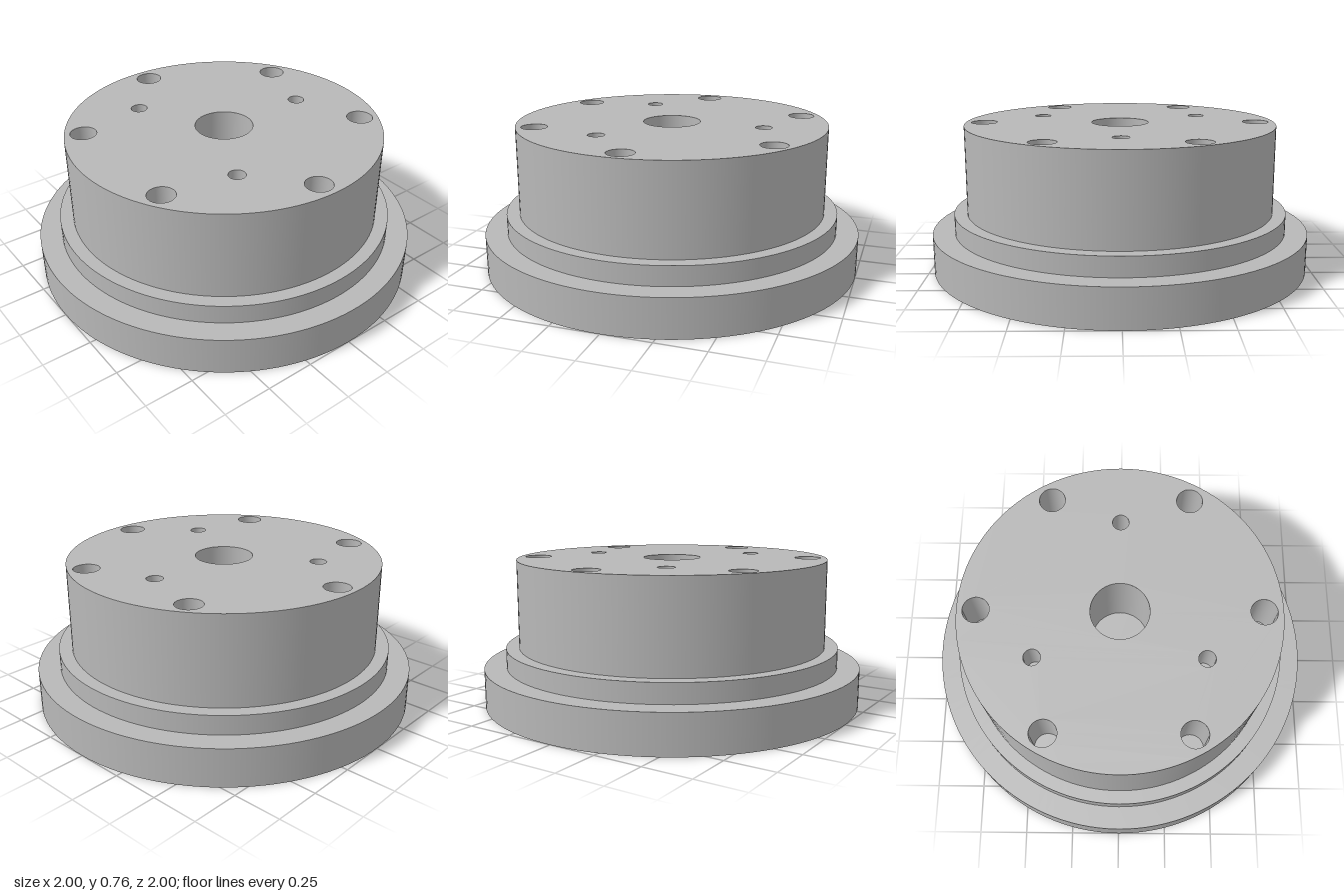
import * as THREE from 'three';

const metal = new THREE.MeshStandardMaterial({ color: 0xb8b8b8 });
metal.name = 'grey metal';

const BASE_R = 1, BASE_Y = 0.2;
const STEP_R = 0.885, STEP_Y = 0.3;
const BODY_R = 0.817, BODY_Y = 0.76;

// Holes: position, radius, depth
function boltCircle(count, pitchR, startDeg, r, depth, name) {
  return Array.from({ length: count }, (_, i) => {
    const a = THREE.MathUtils.degToRad(startDeg + (i * 360) / count);
    return { x: pitchR * Math.cos(a), z: pitchR * Math.sin(a), r, depth, name };
  });
}
const topHoles = [
  { x: 0, z: 0, r: 0.15, depth: 0.4, name: 'topCentreBore' },
  ...boltCircle(6, 0.72, 0, 0.068, 0.3, 'topBoltHole'),
  ...boltCircle(3, 0.495, 30, 0.043, 0.2, 'topPinHole'),
];
const bottomHoles = [
  { x: 0, z: 0, r: 0.267, depth: 0.066, name: 'bottomRecess' },
  ...boltCircle(6, 0.78, 30, 0.09, 0.2, 'bottomBoltHole'),
];

// One revolved strip between two profile points; upward strips face outward
function strip(name, r0, y0, r1, y1, segments = 128) {
  const points = [new THREE.Vector2(r0, y0), new THREE.Vector2(r1, y1)];
  const mesh = new THREE.Mesh(new THREE.LatheGeometry(points, segments), metal);
  mesh.name = name;
  return mesh;
}

// Flat round face pierced by holes; dir is 1 for up, -1 for down
function piercedFace(name, radius, y, holes, dir) {
  const shape = new THREE.Shape().absarc(0, 0, radius, 0, Math.PI * 2);
  for (const h of holes) {
    shape.holes.push(new THREE.Path().absarc(h.x, -dir * h.z, h.r, 0, Math.PI * 2, true));
  }
  const geometry = new THREE.ShapeGeometry(shape, 64);
  geometry.rotateX((-dir * Math.PI) / 2);
  const mesh = new THREE.Mesh(geometry, metal);
  mesh.name = name;
  mesh.position.y = y;
  return mesh;
}

// Blind hole: inward facing wall and a floor
function blindHole(h, y, dir) {
  const group = new THREE.Group();
  group.name = h.name;
  const end = -dir * h.depth;
  const wall = strip('holeWall', h.r, Math.max(0, end), h.r, Math.min(0, end), 64);
  const floor = dir > 0
    ? strip('holeFloor', h.r, end, 0, end, 64)
    : strip('holeFloor', 0, end, h.r, end, 64);
  group.add(wall, floor);
  group.position.set(h.x, y, h.z);
  return group;
}

export function createModel() {
  const model = new THREE.Group();
  model.name = 'steppedFlange';

  // Stepped outer walls and ledges
  model.add(
    strip('baseWall', BASE_R, 0, BASE_R, BASE_Y),
    strip('baseLedge', BASE_R, BASE_Y, STEP_R, BASE_Y),
    strip('stepWall', STEP_R, BASE_Y, STEP_R, STEP_Y),
    strip('stepLedge', STEP_R, STEP_Y, BODY_R, STEP_Y),
    strip('bodyWall', BODY_R, STEP_Y, BODY_R, BODY_Y),
  );

  // End faces and their holes
  model.add(piercedFace('topFace', BODY_R, BODY_Y, topHoles, 1));
  model.add(piercedFace('bottomFace', BASE_R, 0, bottomHoles, -1));
  for (const h of topHoles) model.add(blindHole(h, BODY_Y, 1));
  for (const h of bottomHoles) model.add(blindHole(h, 0, -1));

  return model;
}
